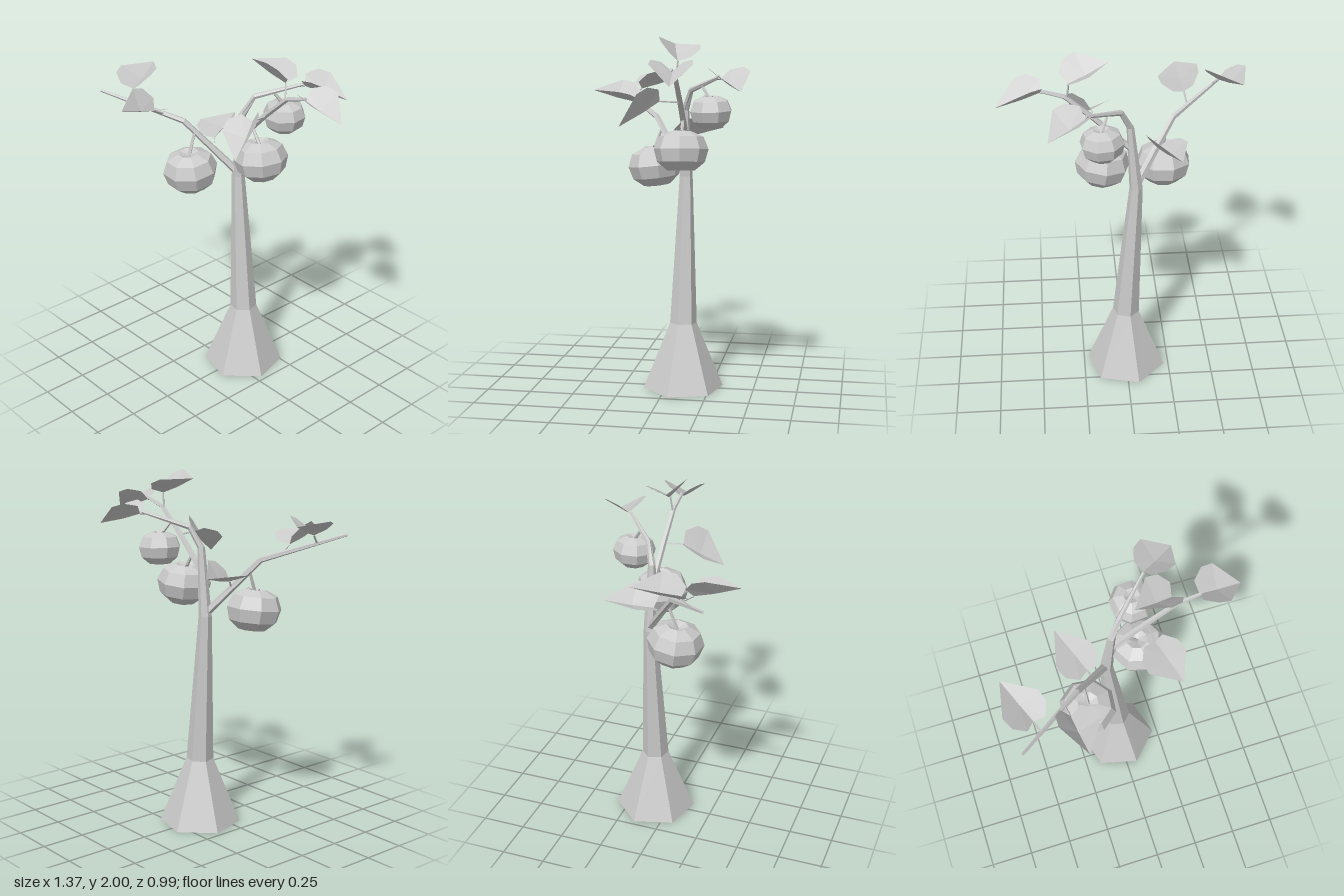
import * as THREE from 'three';

const mat = new THREE.MeshStandardMaterial({ color: 0xcccccc, flatShading: true });
const thin = new THREE.MeshStandardMaterial({ color: 0xcccccc, flatShading: true, side: THREE.DoubleSide });
const V = (p) => new THREE.Vector3(...p);

// Mesh from a list of corner points, three per face
function facets(name, corners, material) {
  const geo = new THREE.BufferGeometry().setFromPoints(corners);
  geo.computeVertexNormals();
  const mesh = new THREE.Mesh(geo, material);
  mesh.name = name;
  return mesh;
}

// Tapered, faceted limb: each entry is [x, y, z, radius]
function limb(name, path, sides = 5, turn = 0) {
  const pts = path.map((p) => V(p.slice(0, 3)));
  const rings = pts.map((p, i) => {
    const t = pts[Math.min(i + 1, pts.length - 1)].clone().sub(pts[Math.max(i - 1, 0)]).normalize();
    const v = new THREE.Vector3(0, 0, 1).addScaledVector(t, -t.z).normalize();
    const u = t.clone().cross(v);
    return Array.from({ length: sides }, (_, j) => {
      const a = turn + (j / sides) * Math.PI * 2;
      return p.clone().addScaledVector(u, Math.cos(a) * path[i][3]).addScaledVector(v, Math.sin(a) * path[i][3]);
    });
  });
  const out = [];
  for (let i = 0; i < rings.length - 1; i++) {
    for (let j = 0; j < sides; j++) {
      const k = (j + 1) % sides, r = rings[i], s = rings[i + 1];
      out.push(r[j], s[j], r[k], r[k], s[j], s[k]);
    }
  }
  const first = rings[0], last = rings[rings.length - 1];
  for (let j = 1; j < sides - 1; j++) {
    out.push(first[0], first[j], first[j + 1], last[0], last[j + 1], last[j]);
  }
  return facets(name, out, mat);
}

// Pointed leaf folded along its midrib, with a thin stalk from the branch
function leaf(from, base, tip, up) {
  const group = new THREE.Group();
  group.name = 'leaf';
  const b = V(base), dir = V(tip).sub(b), length = dir.length();
  const z = dir.normalize();
  const x = V(up).cross(z).normalize();
  const y = z.clone().cross(x);
  const mid = V([0, -0.005, 0.42 * length]), root = V([0, 0, 0]), end = V([0, 0, length]);
  const out = [];
  for (const s of [-1, 1]) {
    const edge = [[0.058, 0.045, -0.02], [0.108, 0.075, 0.035], [0.115, 0.073, 0.105]].map((p) => V([s * p[0], p[1], p[2]]));
    const fan = [root, ...edge, end];
    for (let i = 0; i < fan.length - 1; i++) {
      out.push(mid, s > 0 ? fan[i + 1] : fan[i], s > 0 ? fan[i] : fan[i + 1]);
    }
  }
  const blade = facets('leafBlade', out, thin);
  blade.applyMatrix4(new THREE.Matrix4().makeBasis(x, y, z).setPosition(b));
  group.add(blade, limb('leafStalk', [[...from, 0.006], [...base, 0.005]], 4));
  return group;
}

// Squashed fruit with a dimpled top, star-shaped calyx and short stem
function fruit(center, r, tilt, turn, hang) {
  const group = new THREE.Group();
  group.name = 'fruit';
  const profile = [[0, -0.7], [0.52, -0.72], [0.9, -0.4], [1.03, 0.08], [0.84, 0.54], [0.38, 0.75], [0, 0.56]];
  const body = new THREE.Mesh(
    new THREE.LatheGeometry(profile.map((p) => new THREE.Vector2(p[0] * r, p[1] * r)), 8), mat);
  body.name = 'fruitBody';
  const star = [];
  for (let i = 0; i < 5; i++) {
    const at = (a, d, h) => V([Math.cos(a) * d * r, h * r, Math.sin(a) * d * r]);
    const a = (i / 5) * Math.PI * 2;
    star.push(at(a - 0.5, 0.1, 0.68), at(a, 0.42, 0.84), at(a + 0.5, 0.1, 0.68));
  }
  const top = new THREE.Group();
  top.add(body, facets('calyx', star, thin));
  top.position.copy(V(center));
  top.rotation.set(tilt[0], turn, tilt[1]);
  const foot = V([0, 0.56 * r, 0]).applyEuler(top.rotation).add(top.position);
  group.add(top, limb('fruitStem', [[...foot.toArray(), 0.011], [...hang, 0.008]], 5));
  return group;
}

export function createModel() {
  const tree = new THREE.Group();
  tree.name = 'fruitTree';

  // Flared trunk running on into the rear branch
  tree.add(limb('trunk', [
    [0, 0, -0.095, 0.23], [0, 0.38, -0.095, 0.077], [-0.055, 1.22, -0.1, 0.037],
    [-0.022, 1.6, -0.1, 0.021], [0.03, 1.71, -0.14, 0.016], [0.22, 1.79, -0.32, 0.009],
  ], 6, 74 * Math.PI / 180));

  // Side branches
  tree.add(limb('leftBranch', [
    [-0.035, 1.46, -0.1, 0.018], [0.17, 1.66, -0.1, 0.016], [0.325, 1.795, -0.1, 0.013], [0.46, 1.835, -0.1, 0.009],
  ]));
  tree.add(limb('rightBranch', [
    [-0.055, 1.235, -0.1, 0.024], [-0.275, 1.54, 0.11, 0.017], [-0.64, 1.69, 0.4, 0.008],
  ]));

  // Leaves: stalk start, blade base, tip, facing direction
  const leaves = [
    [[0.2, 1.78, -0.3], [0.225, 1.78, -0.33], [0.42, 1.72, -0.46], [0, 1, 0]],
    [[0.42, 1.825, -0.1], [0.45, 1.825, -0.105], [0.688, 1.755, -0.13], [0, 1, 0]],
    [[0.31, 1.79, -0.1], [0.3, 1.875, -0.11], [0.09, 1.965, -0.06], [0.3, 1, -0.3]],
    [[0.17, 1.65, -0.1], [0.18, 1.655, 0.01], [0.275, 1.52, 0.22], [-0.3, 1, 0.3]],
    [[-0.515, 1.64, 0.3], [-0.54, 1.69, 0.25], [-0.645, 1.765, 0.02], [0, 1, 0.2]],
    [[-0.36, 1.575, 0.18], [-0.35, 1.62, 0.255], [-0.32, 1.69, 0.5], [0.28, 1, -0.2]],
    [[-0.16, 1.38, 0.0], [-0.18, 1.425, -0.03], [-0.287, 1.48, -0.285], [-0.28, 1, 0.1]],
  ];
  for (const args of leaves) tree.add(leaf(...args));

  // Fruits: centre, radius, tilt, turn, point on the branch they hang from
  tree.add(fruit([-0.225, 1.255, 0.11], 0.152, [0.12, 0], 0.3, [-0.23, 1.48, 0.07]));
  tree.add(fruit([0.13, 1.38, -0.1], 0.147, [0, 0.12], 0.1, [0.06, 1.55, -0.1]));
  tree.add(fruit([0.137, 1.595, -0.265], 0.117, [0.05, -0.05], 0.5, [0.105, 1.74, -0.21]));

  return tree;
}
